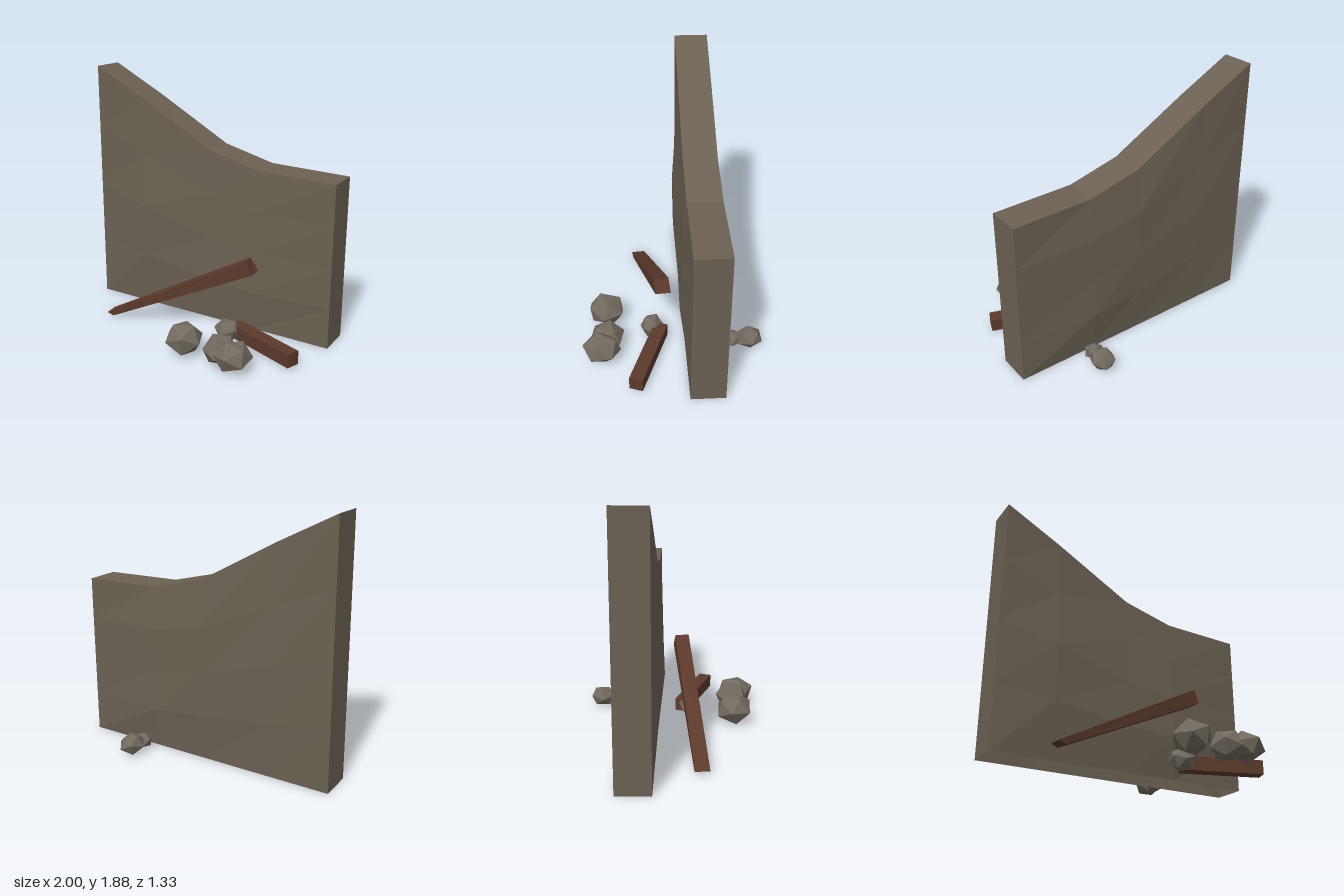
import * as THREE from 'three';

const material = (name, color, side = THREE.FrontSide) => {
  const m = new THREE.MeshStandardMaterial({ color, flatShading: true, side });
  m.name = name;
  return m;
};

// Wall outline: x of each column, its top height, and the bulge of rows 1 to 3
const COLUMNS = [
  { x: -1.0, top: 1.88, front: [0, 0, 0], back: [0, 0, 0] },
  { x: -0.57, top: 1.66, front: [0.035, 0.045, 0.015], back: [0.015, 0.02, 0.01] },
  { x: 0.01, top: 1.34, front: [0.03, 0.025, 0.015], back: [0.025, 0.03, 0.03] },
  { x: 0.4, top: 1.24, front: [0.04, 0.03, 0.02], back: [0.04, 0.03, 0.03] },
  { x: 1.0, top: 1.225, front: [0, 0, 0], back: [0, 0, 0] },
];
const ROWS = 4;
const FRONT_Z = -0.1;
const BACK_Z = -0.35;

// Hollow slab, open underneath, with gently bulging faces
function wallGeometry() {
  const point = (c, r, face) => {
    const { x, top, [face]: bulge } = COLUMNS[c];
    const b = bulge[r - 1] ?? 0;
    return [x, (top * r) / ROWS, face === 'front' ? FRONT_Z + b : BACK_Z - b];
  };
  const positions = [];
  const quad = (a, b, c, d) => positions.push(...a, ...b, ...c, ...a, ...c, ...d);
  const last = COLUMNS.length - 1;

  for (let c = 0; c < last; c++) {
    for (let r = 0; r < ROWS; r++) {
      quad(point(c, r, 'front'), point(c + 1, r, 'front'), point(c + 1, r + 1, 'front'), point(c, r + 1, 'front'));
      quad(point(c + 1, r, 'back'), point(c, r, 'back'), point(c, r + 1, 'back'), point(c + 1, r + 1, 'back'));
    }
    quad(point(c, ROWS, 'front'), point(c + 1, ROWS, 'front'), point(c + 1, ROWS, 'back'), point(c, ROWS, 'back'));
  }
  for (let r = 0; r < ROWS; r++) {
    quad(point(last, r, 'front'), point(last, r, 'back'), point(last, r + 1, 'back'), point(last, r + 1, 'front'));
    quad(point(0, r, 'back'), point(0, r, 'front'), point(0, r + 1, 'front'), point(0, r + 1, 'back'));
  }
  const g = new THREE.BufferGeometry();
  g.setAttribute('position', new THREE.Float32BufferAttribute(positions, 3));
  g.computeVertexNormals();
  return g;
}

// Box whose ends follow given corners: [topBack, topFront, bottomBack, bottomFront]
function taperedBeam(leftEnd, rightEnd) {
  const g = new THREE.BoxGeometry(1, 1, 1).toNonIndexed();
  const p = g.attributes.position;
  for (let i = 0; i < p.count; i++) {
    const end = p.getX(i) > 0 ? rightEnd : leftEnd;
    p.setXYZ(i, ...end[(p.getY(i) > 0 ? 0 : 2) + (p.getZ(i) > 0 ? 1 : 0)]);
  }
  g.computeVertexNormals();
  return g;
}

// Turned icosahedron fitted to the given width, height and depth
function rockGeometry(size, turn) {
  const g = new THREE.IcosahedronGeometry(1, 0);
  g.rotateX(turn * 0.3);
  g.rotateY(turn);
  g.computeBoundingBox();
  const box = g.boundingBox.getSize(new THREE.Vector3());
  g.center();
  g.scale(size[0] / box.x, size[1] / box.y, size[2] / box.z);
  g.computeVertexNormals();
  return g;
}

export function createModel() {
  const model = new THREE.Group();
  model.name = 'ruinedWall';
  const stone = material('wall stone', 0x6b6153, THREE.DoubleSide);
  const rubble = material('rubble stone', 0x726a5e);
  const wood = material('dark wood', 0x5c3a2c);

  const add = (name, geometry, mat) => {
    const mesh = new THREE.Mesh(geometry, mat);
    mesh.name = name;
    model.add(mesh);
    return mesh;
  };

  add('wall', wallGeometry(), stone);

  // Leaning beam, worn thin at its foot
  add('leaningBeam', taperedBeam(
    [[-0.7, 0.02, 0.18], [-0.69, 0.02, 0.285], [-0.65, 0, 0.175], [-0.64, 0, 0.275]],
    [[0.43, 0.63, 0.025], [0.45, 0.63, 0.13], [0.485, 0.535, 0.01], [0.495, 0.535, 0.12]],
  ), wood);

  // Short beam lying on the ground
  const fallen = add('fallenBeam', new THREE.BoxGeometry(0.6, 0.1, 0.1), wood);
  fallen.position.set(0.622, 0.065, 0.176);
  fallen.rotation.y = -0.343;

  // Rubble in front of and behind the wall
  const rocks = [
    { at: [0.158, 0.12, 0.49], size: [0.275, 0.21, 0.245], turn: 0.4 },
    { at: [0.445, 0.11, 0.482], size: [0.23, 0.18, 0.255], turn: 1.3 },
    { at: [0.57, 0.11, 0.52], size: [0.235, 0.2, 0.28], turn: 2.1 },
    { at: [0.315, 0.078, 0.145], size: [0.19, 0.14, 0.175], turn: 0.9 },
    { at: [0.483, 0.08, -0.575], size: [0.185, 0.14, 0.19], turn: 1.7 },
    { at: [0.473, 0.063, -0.455], size: [0.135, 0.115, 0.115], turn: 2.6 },
  ];
  rocks.forEach(({ at, size, turn }, i) => {
    add(`rock${i + 1}`, rockGeometry(size, turn), rubble).position.set(...at);
  });

  return model;
}
